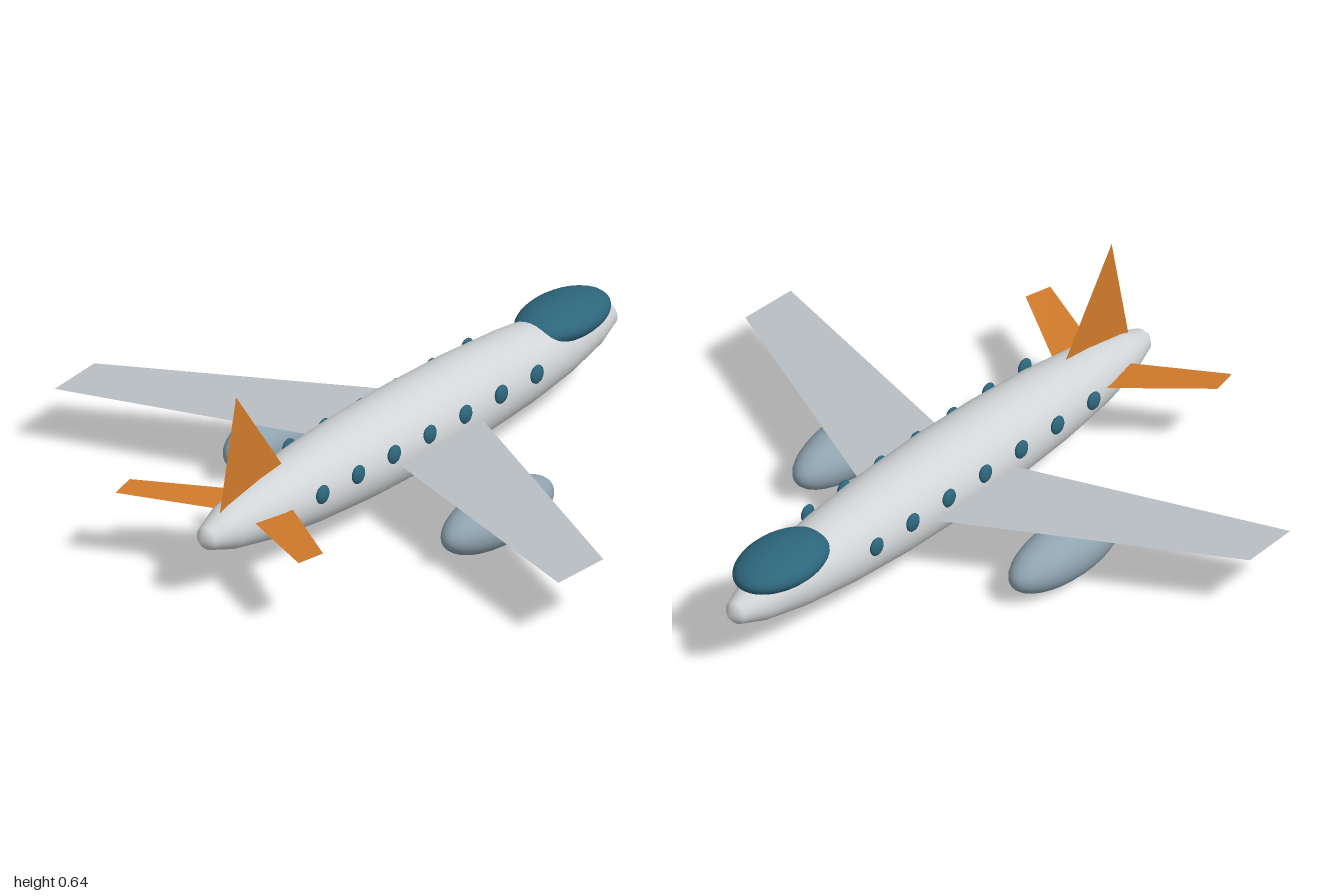
import * as THREE from 'three';

const mat = (name, color, side = THREE.FrontSide) =>
  Object.assign(new THREE.MeshStandardMaterial({ color, side }), { name });

export function createModel() {
  const group = new THREE.Group();
  const white = mat('fuselage white', 0xd2d5d7);
  const grey = mat('wing grey', 0xb9bec3, THREE.DoubleSide);
  const blueGrey = mat('engine blue grey', 0x90a4b0);
  const teal = mat('glass teal', 0x2d667c);
  const orange = mat('tail orange', 0xd07a2a, THREE.DoubleSide);

  const add = (name, geometry, material) => {
    const mesh = new THREE.Mesh(geometry, material);
    mesh.name = name;
    group.add(mesh);
    return mesh;
  };

  // Ellipsoid with its poles along z
  const ellipsoid = (name, radii, position, material, around, along) => {
    const geometry = new THREE.SphereGeometry(1, around, along);
    geometry.rotateX(Math.PI / 2).scale(...radii);
    add(name, geometry, material).position.set(...position);
  };

  // Flat sheet from corners in order
  const sheet = (name, corners, material) => {
    const geometry = new THREE.BufferGeometry();
    geometry.setAttribute('position', new THREE.Float32BufferAttribute(corners.flat(), 3));
    geometry.setIndex(corners.length === 4 ? [0, 1, 2, 0, 2, 3] : [0, 1, 2]);
    geometry.computeVertexNormals();
    add(name, geometry, material);
  };
  // Mirrored corners are reversed so the upper face stays the front
  const mirror = (corners) => corners.map(([x, y, z]) => [-x, y, z]).reverse();

  // Body and cockpit, nose towards -z
  ellipsoid('fuselage', [0.143, 0.143, 0.987], [0, 0.217, 0], white, 32, 12);
  ellipsoid('cockpitCanopy', [0.115, 0.061, 0.185], [0, 0.296, -0.737], teal, 32, 20);

  // Swept wings and tailplanes
  const wing = [[0.04, 0.215, -0.238], [0.04, 0.209, 0.167], [0.99, 0.205, 0.478], [1, 0.208, 0.277]];
  const tailplane = [[0.03, 0.23, 0.617], [0.03, 0.235, 0.79], [0.36, 0.252, 0.95], [0.38, 0.255, 0.858]];
  sheet('leftWing', wing, grey);
  sheet('rightWing', mirror(wing), grey);
  sheet('leftTailplane', tailplane, orange);
  sheet('rightTailplane', mirror(tailplane), orange);

  // Upright tail fin
  sheet('tailFin', [[0, 0.643, 0.812], [0, 0.25, 0.895], [0, 0.25, 0.542]], orange);

  // Engines and cabin windows on both sides
  for (const side of [1, -1]) {
    const label = side > 0 ? 'left' : 'right';
    ellipsoid(label + 'Engine', [0.0935, 0.0935, 0.245], [side * 0.428, 0.0935, 0.089], blueGrey, 28, 18);
    for (let i = 0; i < 7; i++) {
      ellipsoid(label + 'Window' + (i + 1), [0.013, 0.031, 0.028],
        [side * 0.137, 0.257, -0.451 + i * 0.1695], teal, 14, 10);
    }
  }
  return group;
}
